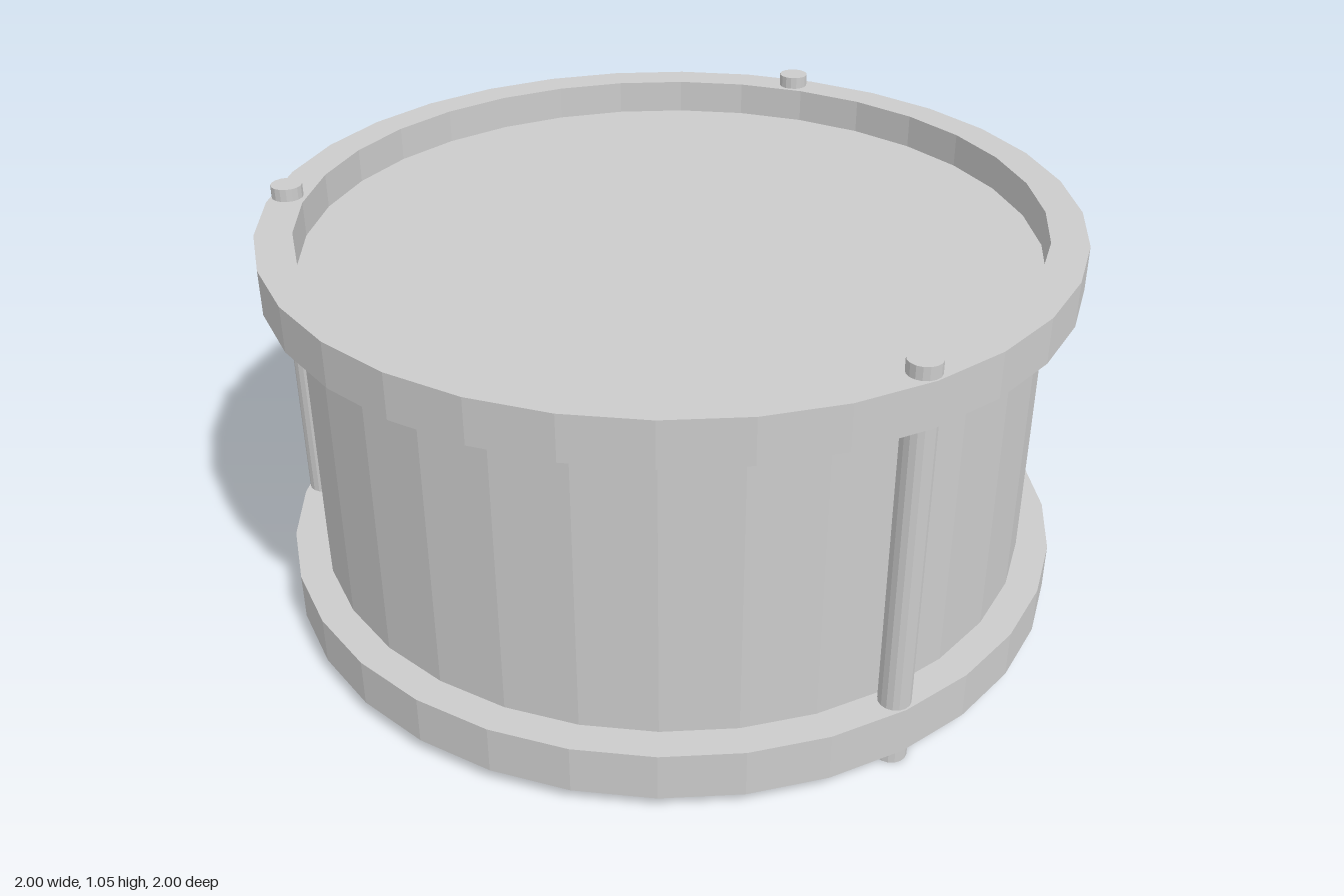
import * as THREE from 'three';

const SEGMENTS = 32;

export function createModel() {
  const drum = new THREE.Group();
  drum.name = 'drum';
  const material = new THREE.MeshStandardMaterial({ color: 0xcccccc, flatShading: true });

  const add = (name, geometry, x = 0, y = 0, z = 0) => {
    const mesh = new THREE.Mesh(geometry, material);
    mesh.name = name;
    mesh.position.set(x, y, z);
    drum.add(mesh);
  };

  // Closed rectangular ring between two heights
  const hoop = (inner, outer, bottom, top) => new THREE.LatheGeometry([
    [inner, bottom], [outer, bottom], [outer, top], [inner, top], [inner, bottom],
  ].map(([r, y]) => new THREE.Vector2(r, y)), SEGMENTS);

  // Shell, whose end caps are the two recessed drum heads
  const headLow = 0.125, headHigh = 0.927;
  add('shellWithHeads', new THREE.CylinderGeometry(0.92, 0.92, headHigh - headLow, SEGMENTS),
    0, (headLow + headHigh) / 2, 0);

  // Hoops
  add('topHoop', hoop(0.91, 1, 0.903, 1.015));
  add('bottomHoop', hoop(0.91, 1, 0.035, 0.157));

  // Tension rods, running through both hoops
  const rodHeight = 1.047;
  [['frontRod', 0], ['leftRod', 126.2], ['rightRod', -126.2]].forEach(([name, degrees]) => {
    const angle = THREE.MathUtils.degToRad(degrees);
    add(name, new THREE.CylinderGeometry(0.039, 0.039, rodHeight, 16),
      0.957 * Math.sin(angle), rodHeight / 2, 0.957 * Math.cos(angle));
  });

  return drum;
}
